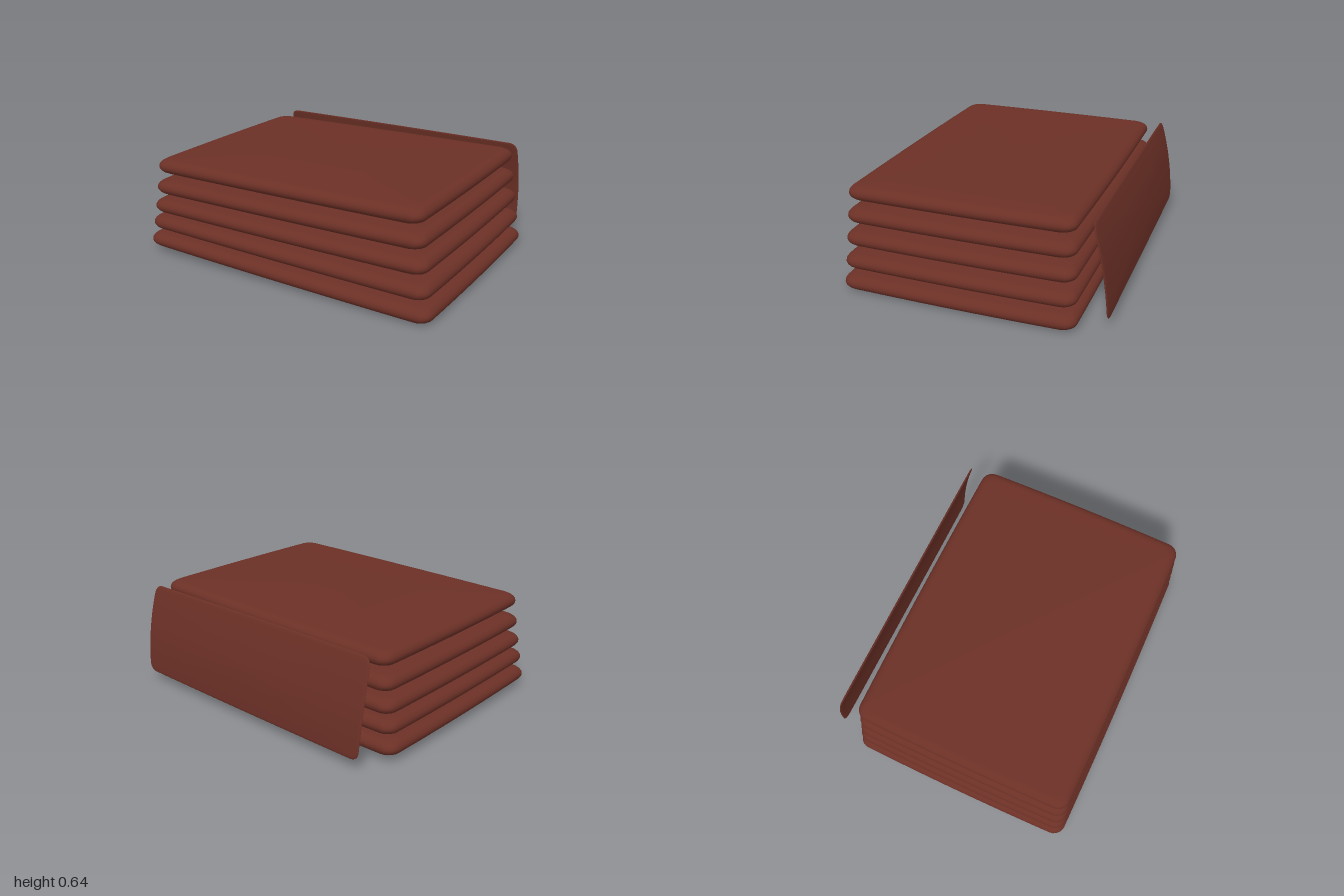
import * as THREE from 'three';

// Closed outline of a rounded rectangle in the xz plane with gently bowed sides.
function outline(hx, hz, r) {
  const corners = [];
  [[1, 1], [-1, 1], [-1, -1], [1, -1]].forEach(([sx, sz], k) => {
    for (let i = 0; i <= 5; i++) {
      const a = (k + i / 5) * Math.PI / 2;
      corners.push([sx * (hx - r) + r * Math.cos(a), sz * (hz - r) + r * Math.sin(a)]);
    }
  });
  const points = [];
  corners.forEach(([x, z], i) => {
    const [nx, nz] = corners[(i + 1) % corners.length];
    const steps = i % 6 === 5 ? 12 : 1; // straight sides are subdivided
    for (let s = 0; s < steps; s++) {
      points.push([x + (nx - x) * s / steps, z + (nz - z) * s / steps]);
    }
  });
  return points.map(([x, z]) => [
    x * (1 - 0.01 * (z / hz) ** 2),
    z * (1 - 0.012 * (x / hx) ** 2),
  ]);
}

// Soft slab: rounded rim, then top and bottom swelling slightly to the middle.
function softSlab(hx, hz, corner, rim, edge, middle) {
  const half = []; // [inset, scale, height] from the rim to the middle
  for (let i = 0; i <= 6; i++) {
    const a = i / 6 * Math.PI / 2;
    half.push([rim * (1 - Math.cos(a)), 1, edge * Math.sin(a)]);
  }
  for (const s of [0.9, 0.75, 0.6, 0.45, 0.3, 0.15, 0]) {
    half.push([rim, s, edge + (middle - edge) * (1 - s * s)]);
  }
  const rings = [
    ...half.slice(1).reverse().map(([inset, s, y]) => [inset, s, -y]),
    ...half,
  ];
  const base = outline(hx, hz, corner);
  const n = base.length;
  const positions = [];
  const index = [];
  rings.forEach(([inset, s, y], j) => {
    for (const [x, z] of base) {
      positions.push(x * s * (1 - inset / hx), y, z * s * (1 - inset / hz));
    }
    if (j === rings.length - 1) return;
    for (let i = 0; i < n; i++) {
      const a = j * n + i;
      const b = j * n + (i + 1) % n;
      index.push(a, a + n, b, b, a + n, b + n);
    }
  });
  const geometry = new THREE.BufferGeometry();
  geometry.setAttribute('position', new THREE.Float32BufferAttribute(positions, 3));
  geometry.setIndex(index);
  geometry.computeVertexNormals();
  return geometry;
}

export function createModel() {
  const model = new THREE.Group();
  model.name = 'slabStack';
  const brown = new THREE.MeshStandardMaterial({ color: 0x6b3026 });
  brown.name = 'reddish brown';

  // Stack of slabs, each a little smaller and tilted differently
  const levels = [[0.07, -0.035], [0.194, -0.023], [0.32, 0.008], [0.451, 0.022], [0.588, 0.022]];
  levels.forEach(([y, rise], i) => {
    const geometry = softSlab(1 - 0.019 * i, 0.722 - 0.008 * i, 0.07, 0.06, 0.046, 0.057);
    const slab = new THREE.Mesh(geometry, brown);
    slab.name = `slab${i + 1}`;
    slab.position.set(0, y, 0.08);
    slab.rotation.z = Math.atan(rise / 2);
    model.add(slab);
  });

  // Thin curved panel standing behind the stack
  const height = 0.285;
  const panelGeometry = softSlab(0.9, height, 0.05, 0.02, 0.006, 0.011);
  const p = panelGeometry.attributes.position;
  for (let i = 0; i < p.count; i++) {
    const v = -p.getZ(i) / height;
    const bend = -0.76 + 0.05 * v + 0.02 * v * v;
    p.setXYZ(i, p.getX(i), 0.355 + height * v, bend + p.getY(i));
  }
  panelGeometry.computeVertexNormals();
  const panel = new THREE.Mesh(panelGeometry, brown);
  panel.name = 'backPanel';
  model.add(panel);

  return model;
}
